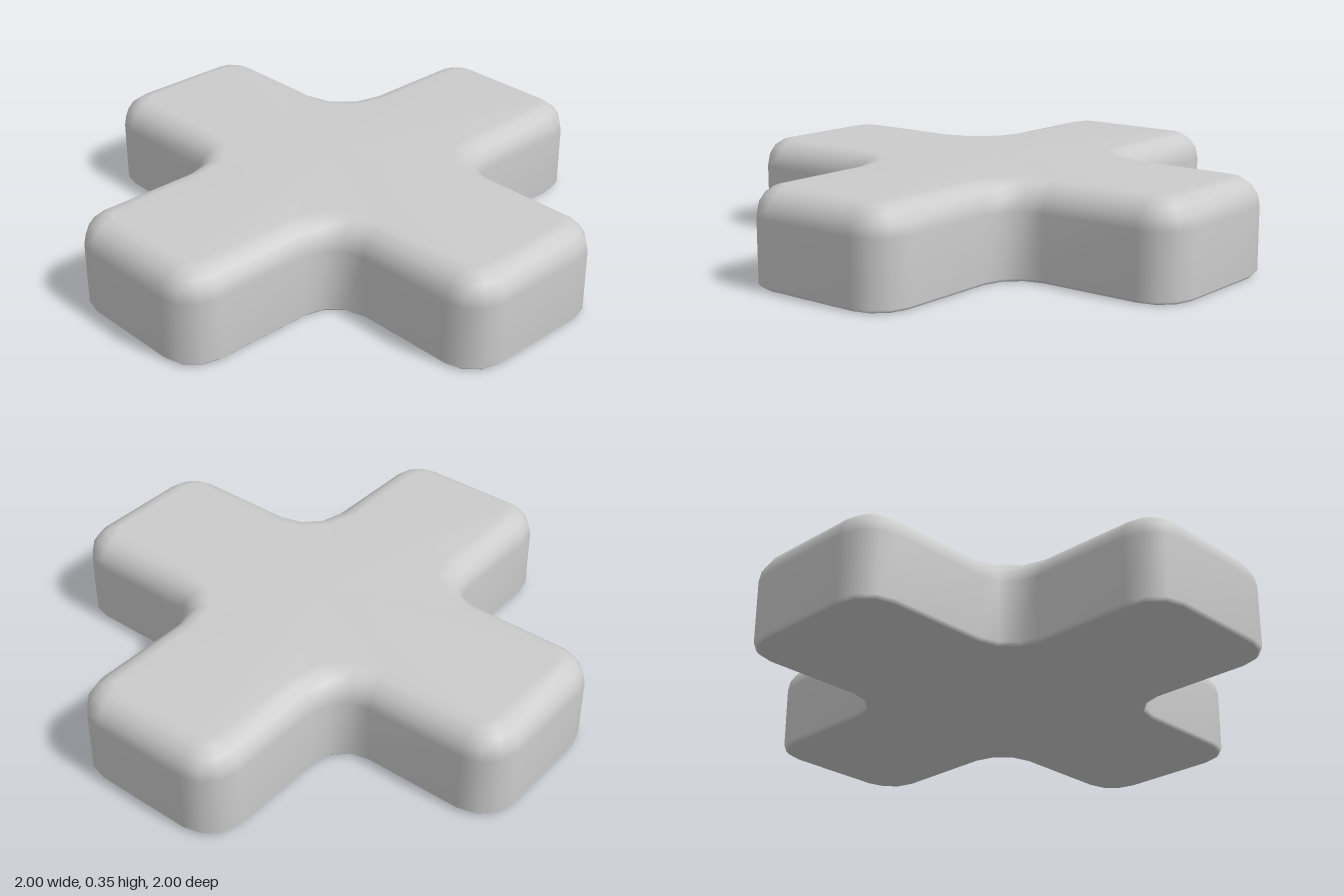
import * as THREE from 'three';

const HALF_WIDTH = 0.333; // half the width of an arm
const RADIUS = 0.14;      // corner radius in plan, outer and inner
const STEPS = 3;          // segments per rounded corner

// Plan outline of the cross, moved inwards by inset; points run from +x towards +z
function crossOutline(inset) {
  const points = [];
  const arc = (cx, cz, r, from, to, turn) => {
    for (let i = 0; i <= STEPS; i++) {
      const a = from + ((to - from) * i) / STEPS;
      const p = new THREE.Vector2(cx + r * Math.cos(a), cz + r * Math.sin(a));
      points.push(p.rotateAround(new THREE.Vector2(), turn));
    }
  };
  const end = 1 - RADIUS, side = HALF_WIDTH - RADIUS, inner = HALF_WIDTH + RADIUS;
  const q = Math.PI / 2;
  for (let k = 0; k < 4; k++) {
    arc(end, side, RADIUS - inset, 0, q, k * q);
    arc(inner, inner, RADIUS + inset, -q, -2 * q, k * q);
    arc(side, end, RADIUS - inset, 0, q, k * q);
  }
  return points;
}

// Skin through stacked outlines given as [inset, y]; optionally closed on top
function skin(levels, closeTop) {
  const positions = [], index = [];
  let n = 0;
  for (const [inset, y] of levels) {
    const ring = crossOutline(inset);
    n = ring.length;
    for (const p of ring) positions.push(p.x, y, p.y);
  }
  for (let l = 0; l < levels.length - 1; l++) {
    for (let j = 0; j < n; j++) {
      const a = l * n + j, b = l * n + ((j + 1) % n);
      index.push(a, a + n, b, b, a + n, b + n);
    }
  }
  if (closeTop) {
    const base = (levels.length - 1) * n, centre = levels.length * n;
    positions.push(0, levels[levels.length - 1][1], 0);
    for (let j = 0; j < n; j++) index.push(centre, base + ((j + 1) % n), base + j);
  }
  const geometry = new THREE.BufferGeometry();
  geometry.setAttribute('position', new THREE.Float32BufferAttribute(positions, 3));
  geometry.setIndex(index);
  geometry.computeVertexNormals();
  return geometry;
}

export function createModel() {
  const group = new THREE.Group();
  group.name = 'roundedCross';
  const material = new THREE.MeshStandardMaterial({ color: 0xcccccc });
  const add = (name, geometry) => {
    const mesh = new THREE.Mesh(geometry, material);
    mesh.name = name;
    group.add(mesh);
    return mesh;
  };

  // Upright walls rolling over a rounded rim into the flat top
  const levels = [[0.012, 0], [0, 0.012]];
  const rim = 0.105, top = 0.355;
  for (let i = 0; i <= 4; i++) {
    const a = (i / 4) * (Math.PI / 2);
    levels.push([rim * (1 - Math.cos(a)), top - rim + rim * Math.sin(a)]);
  }
  add('body', skin(levels, true));

  // Flat underside with a crisp edge
  const underside = new THREE.ShapeGeometry(new THREE.Shape(crossOutline(0.012)));
  underside.rotateX(Math.PI / 2);
  add('underside', underside);

  return group;
}
